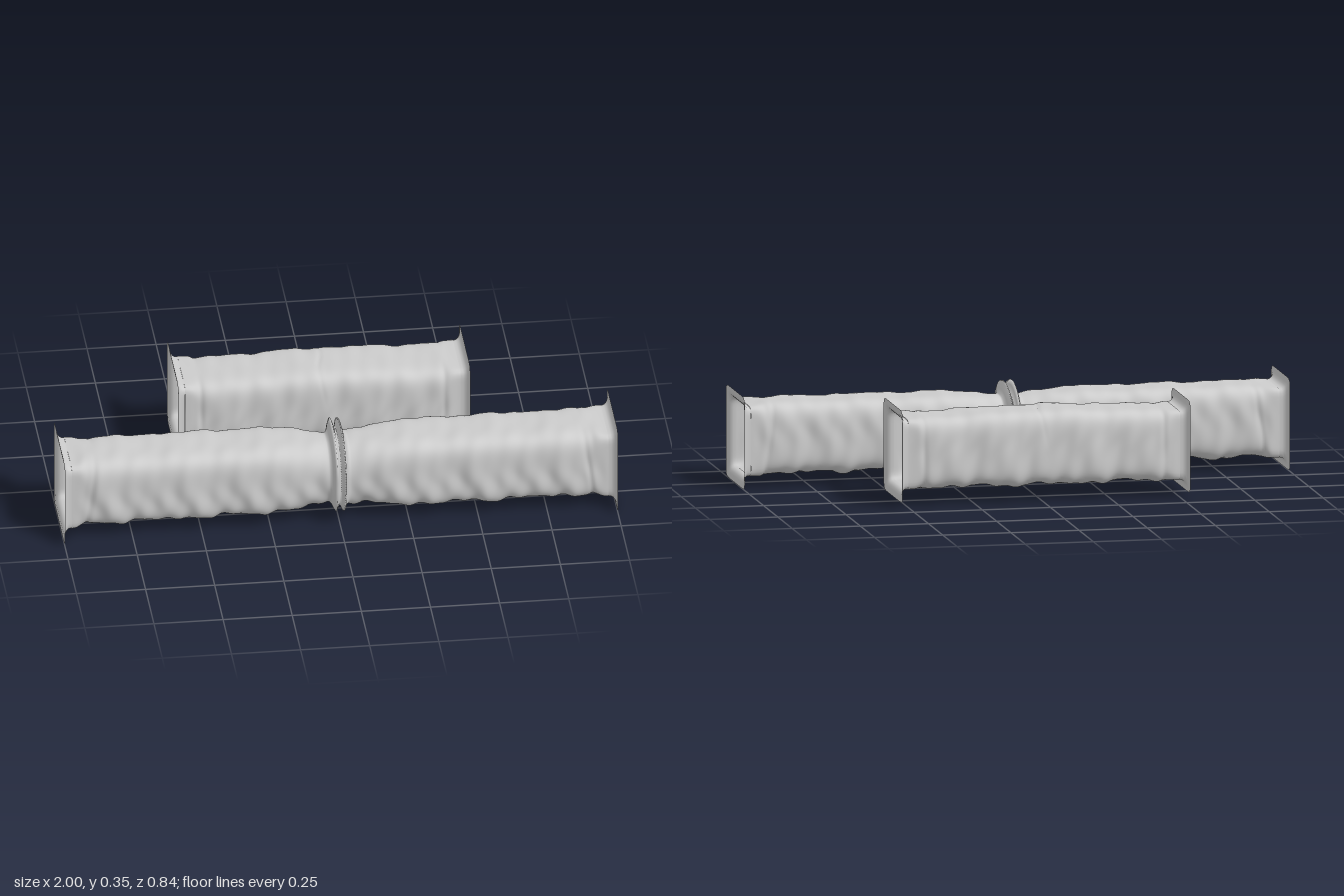
import * as THREE from 'three';

const SEG = 96;
const bump = (x, c, w) => Math.exp(-(((x - c) / w) ** 2));
const mix = THREE.MathUtils.lerp;

// Cloth wrinkles: broad billows plus finer folds, stronger underneath and on the sides
function wrinkle(x, a, seed) {
  const under = 0.5 - 0.5 * Math.sin(a);
  const side = Math.cos(a) ** 2;
  const billow = Math.sin(x * 23 + seed + 1.3 * Math.sin(a + seed)) + 0.7 * Math.sin(x * 37 + 2 * a + seed * 2);
  const folds = Math.sin(x * 61 + 3 * Math.sin(2 * a + seed) + seed) + 0.6 * Math.sin(x * 97 - 2 * a);
  return billow * (0.002 + 0.0025 * under) + folds * (0.0007 + 0.0022 * under + 0.001 * side);
}

// Skin a series of closed rings (superellipse sections) running along x
function loft(rings) {
  const pos = [], index = [];
  for (const r of rings) {
    for (let i = 0; i < SEG; i++) {
      const a = (i / SEG) * Math.PI * 2;
      const c = Math.cos(a), s = Math.sin(a);
      const k = (Math.abs(c) ** r.p + Math.abs(s) ** r.p) ** (-1 / r.p);
      const off = r.offset ? r.offset(a) : 0;
      pos.push(r.x, r.y + s * (r.hy * k + off), r.z + c * (r.hz * k + off));
    }
  }
  for (let j = 0; j < rings.length - 1; j++) {
    for (let i = 0; i < SEG; i++) {
      const n = (i + 1) % SEG;
      const a = j * SEG + i, b = j * SEG + n, c = a + SEG, d = b + SEG;
      index.push(a, b, c, b, d, c);
    }
  }
  const geo = new THREE.BufferGeometry();
  geo.setAttribute('position', new THREE.Float32BufferAttribute(pos, 3));
  geo.setIndex(index);
  geo.computeVertexNormals();
  return geo;
}

// Flared square collar: distance in from the end, half size
const COLLAR = [[0, 0.168], [0.001, 0.158], [0.002, 0.147], [0.006, 0.138], [0.012, 0.131], [0.02, 0.127], [0.03, 0.126]];

function sleeve(name, { half, x, y, z, steps, body }) {
  const group = new THREE.Group();
  group.name = name;
  const mat = new THREE.MeshStandardMaterial({ color: 0xcccccc, side: THREE.DoubleSide });

  const rings = [];
  for (let i = 0; i <= steps; i++) {
    const px = mix(-half + 0.03, half - 0.03, i / steps);
    const ease = THREE.MathUtils.smoothstep(half - 0.03 - Math.abs(px), 0, 0.06);
    rings.push({ x: px, ...body(px, ease) });
  }
  const tube = new THREE.Mesh(loft(rings), mat);
  tube.name = 'clothTube';
  group.add(tube);

  for (const side of [-1, 1]) {
    const collar = COLLAR.map(([d, h]) => ({ x: side * (half - d), y: 0, z: 0, hy: h, hz: h, p: 13 }));
    if (side < 0) collar.forEach((r) => (r.x = Math.min(r.x, -half + 0.03)));
    else collar.reverse();
    const mesh = new THREE.Mesh(loft(collar), mat);
    mesh.name = side < 0 ? 'rightCollar' : 'leftCollar';
    group.add(mesh);
  }
  group.position.set(x, y, z);
  return group;
}

export function createModel() {
  const model = new THREE.Group();
  model.name = 'clothSleeves';

  // Long sleeve, gathered at the middle into a double pleat
  model.add(sleeve('longSleeve', {
    half: 1, x: 0, y: 0.17, z: 0.243, steps: 300,
    body(px, ease) {
      const neck = bump(px, 0, 0.1);
      const pleat = Math.min(1, bump(px, -0.013, 0.011) + bump(px, 0.016, 0.01));
      const h = 0.127 + 0.003 * ease - 0.014 * neck;
      return {
        y: 0.004 * ease - 0.004 * neck + 0.014 * pleat,
        z: 0,
        hy: h + 0.04 * pleat,
        hz: h + 0.052 * pleat,
        p: mix(13, mix(4.6, 2.5, bump(px, 0, 0.2)), ease),
        // Narrow upright folds beside the collars and at the gather
        offset: (a) => ease * (wrinkle(px, a, 1) * (1 - 0.6 * pleat)
          - Math.cos(a) ** 2 * 0.007 * (bump(px, -0.9 + 0.02 * Math.sin(a), 0.01) + bump(px, 0.9 - 0.02 * Math.sin(a), 0.01))
          + pleat * 0.004 * Math.sin(5 * a + 40 * px)),
      };
    },
  }));

  // Short sleeve, slightly billowed on top
  model.add(sleeve('shortSleeve', {
    half: 0.528, x: -0.002, y: 0.188, z: -0.256, steps: 170,
    body(px, ease) {
      const swell = bump(px, 0, 0.3);
      return {
        y: 0.005 * swell, z: 0,
        hy: 0.127 + 0.008 * swell * ease,
        hz: 0.127 + 0.007 * ease,
        p: mix(13, 5, ease),
        offset: (a) => ease * (wrinkle(px, a, 4)
          - 0.003 * Math.max(0, Math.sin(a)) * bump(px, 0.01 * Math.cos(3 * a), 0.008)
          - Math.cos(a) ** 2 * 0.006 * (bump(px, -0.44, 0.01) + bump(px, 0.44, 0.01))),
      };
    },
  }));

  return model;
}
